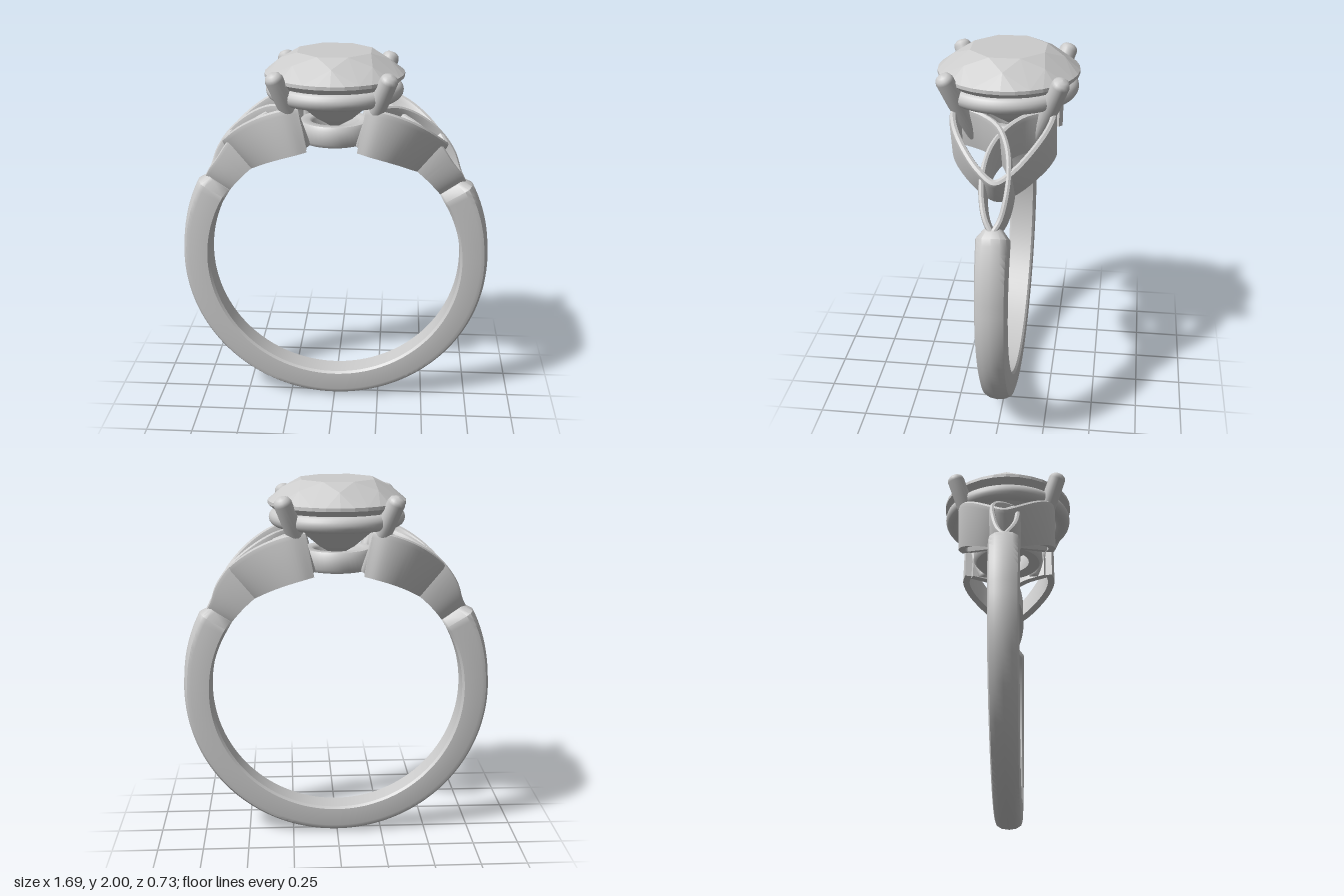
import * as THREE from 'three';
import { toCreasedNormals } from 'three/addons/utils/BufferGeometryUtils.js';
import { ConvexGeometry } from 'three/addons/geometries/ConvexGeometry.js';

const CY = 0.845;      // height of the finger hole's centre
const R_IN = 0.69;     // finger hole radius
const metal = new THREE.MeshStandardMaterial({ color: 0xcccccc });
const gem = new THREE.MeshStandardMaterial({ color: 0xcccccc, flatShading: true });
const rad = THREE.MathUtils.degToRad;

// Point around the finger: angle from the top, radius, depth
const polar = (a, r, z) => new THREE.Vector3(r * Math.sin(a), CY + r * Math.cos(a), z);

// Skin a row of equal loops, cap both ends, and face the result outwards
function loft(loops, crease = 0.7) {
  const tris = [], n = loops[0].length;
  for (let i = 0; i < loops.length - 1; i++) {
    for (let j = 0; j < n; j++) {
      const k = (j + 1) % n, a = loops[i], b = loops[i + 1];
      tris.push([a[j], a[k], b[k]], [a[j], b[k], b[j]]);
    }
  }
  const cap = (loop, flip) => {
    const c = new THREE.Vector3();
    loop.forEach((p) => c.addScaledVector(p, 1 / n));
    loop.forEach((p, j) => {
      const q = loop[(j + 1) % n];
      tris.push(flip ? [c, q, p] : [c, p, q]);
    });
  };
  cap(loops[0], true);
  cap(loops[loops.length - 1], false);
  const cross = new THREE.Vector3();
  const volume = tris.reduce((v, [a, b, c]) => v + a.dot(cross.crossVectors(b, c)), 0);
  const points = tris.flatMap((t) => (volume < 0 ? [t[0], t[2], t[1]] : t));
  return toCreasedNormals(new THREE.BufferGeometry().setFromPoints(points), crease);
}

function add(parent, name, geometry, material = metal) {
  const mesh = new THREE.Mesh(geometry, material);
  mesh.name = name;
  parent.add(mesh);
  return mesh;
}

// Band: rounded outside, flat cheeks, pinched at both ends
function bandGeometry() {
  const section = [[-0.85, 0], [0.85, 0], [1, 0.08], [1, 0.72], [0.9, 0.86], [0.55, 0.96],
    [0, 1], [-0.55, 0.96], [-0.9, 0.86], [-1, 0.72], [-1, 0.08]];
  const ring = (deg, halfWidth, rOut) =>
    section.map(([z, k]) => polar(rad(deg), R_IN + (rOut - R_IN) * k, z * halfWidth));
  const loops = [ring(55.5, 0.045, 0.835)];
  const steps = 96;
  for (let i = 0; i <= steps; i++) {
    const deg = 59 + (i / steps) * 242;
    const low = (1 - Math.cos(rad(deg))) / 2;      // 0 at the top, 1 at the bottom
    const swell = Math.max(0, 1 - Math.abs(180 - Math.abs(180 - deg) - 59 - 0) / 25);
    loops.push(ring(deg, 0.083 - 0.012 * low, 0.843 + 0.022 * swell));
  }
  loops.push(ring(304.5, 0.045, 0.835));
  return loft(loops);
}

// Knot strand: an upright ribbon following [degrees, depth, outer radius]
function strandGeometry(path, side, halfThickness = 0.019) {
  const section = [[-1, 0], [1, 0], [1, 0.88], [0.7, 0.97], [0, 1], [-0.7, 0.97], [-1, 0.88]];
  const arm = 0.8;                                  // unrolls angles into lengths
  const curve = new THREE.CatmullRomCurve3(
    path.map(([d, z, r]) => new THREE.Vector3(rad(d) * arm, z, r)), false, 'centripetal');
  const loops = [];
  for (let i = 0; i <= 56; i++) {
    const p = curve.getPoint(i / 56), t = curve.getTangent(i / 56);
    const len = Math.hypot(t.x, t.y);
    loops.push(section.map(([n, k]) => {
      const o = n * halfThickness / len;
      return polar(side * (p.x - t.y * o) / arm, R_IN + (p.z - R_IN) * k, p.y + t.x * o);
    }));
  }
  return loft(loops);
}

// Round brilliant: table, crown, girdle, pavilion, culet
function stoneGeometry() {
  const points = [];
  const ring = (n, r, y, turn = 0) => {
    for (let i = 0; i < n; i++) {
      const a = ((i + turn) / n) * Math.PI * 2;
      points.push(new THREE.Vector3(r * Math.cos(a), y, r * Math.sin(a)));
    }
  };
  ring(8, 0.205, 2.0, 0.5);
  ring(8, 0.285, 1.957);
  ring(32, 0.365, 1.89);
  ring(32, 0.365, 1.872);
  ring(8, 0.1, 1.645, 0.5);
  points.push(new THREE.Vector3(0, 1.585, 0));
  return new ConvexGeometry(points);
}

// Prong: tapered peg with a domed tip, leaning outwards
function prong(parent, sx, sz) {
  const foot = new THREE.Vector3(sx * 0.145, 1.53, sz * 0.145);
  const tip = new THREE.Vector3(sx * 0.296, 1.935, sz * 0.296);
  const h = foot.distanceTo(tip);
  const profile = [[0, 0], [0.028, 0], [0.047, h * 0.6], [0.047, h - 0.035],
    [0.04, h - 0.016], [0.024, h - 0.004], [0, h]].map(([r, y]) => new THREE.Vector2(r, y));
  const mesh = add(parent, 'prong', new THREE.LatheGeometry(profile, 20));
  mesh.position.copy(foot);
  mesh.quaternion.setFromUnitVectors(new THREE.Vector3(0, 1, 0), tip.sub(foot).normalize());
}

export function createModel() {
  const ring = new THREE.Group();
  ring.name = 'ring';
  add(ring, 'band', bandGeometry());

  // Three-lobed knot on each shoulder
  const halfLoop = [[11, 0.235, 0.925], [16, 0.25, 0.935], [23, 0.228, 0.935],
    [31, 0.165, 0.925], [38, 0.08, 0.91]];
  const mirrorZ = (path) => path.map(([d, z, r]) => [d, -z, r]);
  const outerLoop = [...halfLoop, [41.5, 0, 0.9], ...mirrorZ(halfLoop).reverse()];
  const cross = (lift) => [[58, 0.005, 0.84], [53, -0.035, 0.85], [47, -0.058, 0.872 + lift],
    [39, -0.066, 0.9 + lift], [30, -0.045, 0.915 + lift], [22, 0.01, 0.92 + lift],
    [16, 0.1, 0.92], [12, 0.215, 0.92]];
  for (const side of [1, -1]) {
    const knot = new THREE.Group();
    knot.name = side > 0 ? 'leftShoulderKnot' : 'rightShoulderKnot';
    add(knot, 'outerLoop', strandGeometry(outerLoop, side));
    add(knot, 'overStrand', strandGeometry(cross(0.012), side, 0.016));
    add(knot, 'underStrand', strandGeometry(mirrorZ(cross(-0.015)), side, 0.016));
    ring.add(knot);
  }

  // Setting
  const setting = new THREE.Group();
  setting.name = 'setting';
  const base = [[0.12, 1.535], [0.18, 1.525], [0.195, 1.545], [0.195, 1.615], [0.18, 1.635],
    [0.135, 1.635], [0.12, 1.62], [0.12, 1.535]].map(([r, y]) => new THREE.Vector2(r, y));
  add(setting, 'baseCollar', toCreasedNormals(new THREE.LatheGeometry(base, 48), 0.8));
  const seat = add(setting, 'seatRing', new THREE.TorusGeometry(0.315, 0.045, 16, 64));
  seat.rotation.x = Math.PI / 2;
  seat.position.y = 1.8;
  for (const sx of [1, -1]) for (const sz of [1, -1]) prong(setting, sx, sz);
  ring.add(setting);

  add(ring, 'stone', stoneGeometry(), gem);
  return ring;
}
